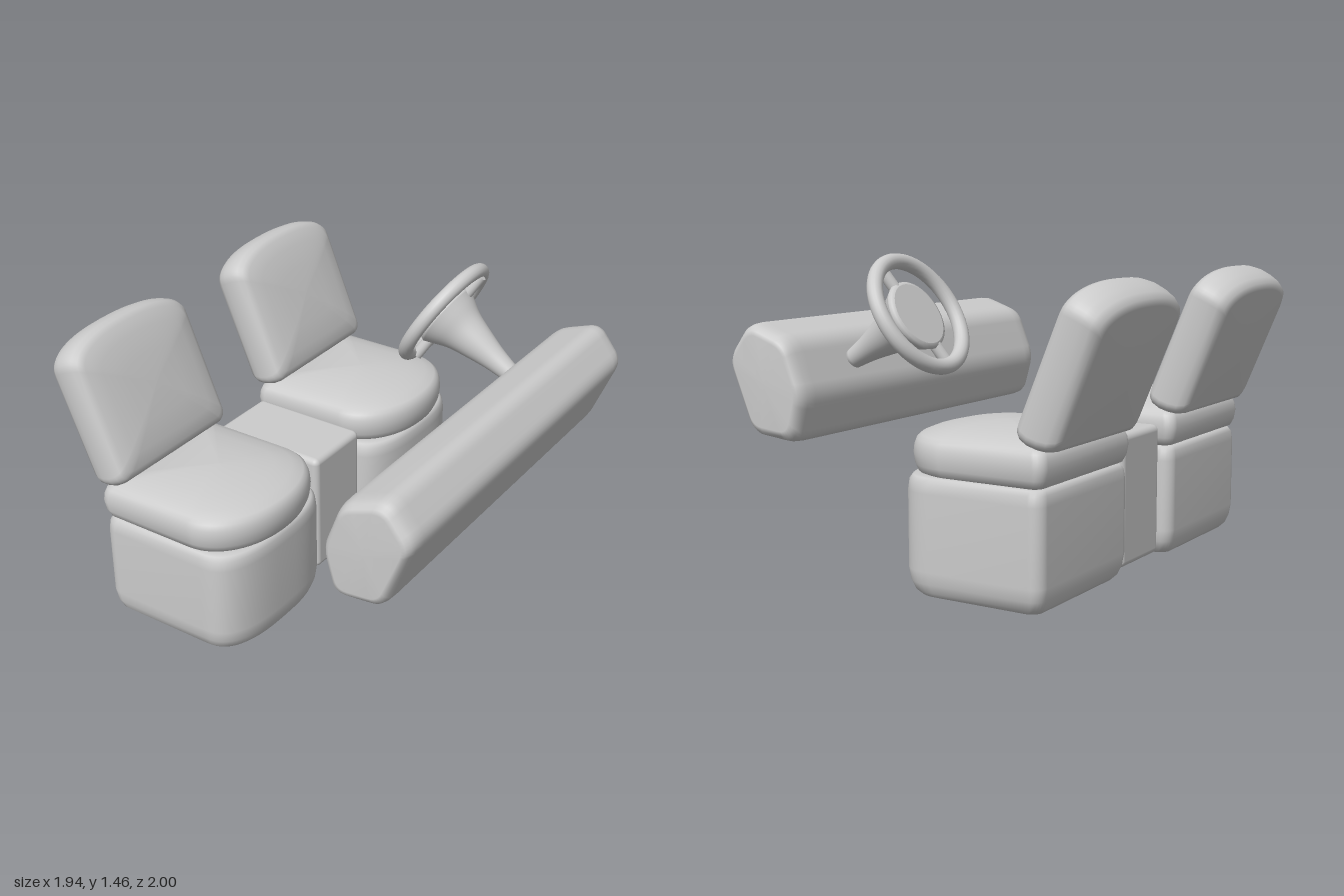
import * as THREE from 'three';
import { RoundedBoxGeometry } from 'three/addons/geometries/RoundedBoxGeometry.js';

const material = new THREE.MeshStandardMaterial({ color: 0xcccccc });

function part(name, geometry) {
  const mesh = new THREE.Mesh(geometry, material);
  mesh.name = name;
  return mesh;
}

// Stacks scaled copies of a closed outline [x, z]; profile rows are [scale, y]
function loft(outline, profile) {
  const n = outline.length, positions = [], index = [];
  profile.forEach(([s, y], j) => {
    outline.forEach(([x, z], i) => {
      positions.push(x * s, y, z * s);
      if (j === profile.length - 1) return;
      const a = j * n + i, b = j * n + (i + 1) % n;
      index.push(a, a + n, b, b, a + n, b + n);
    });
  });
  const g = new THREE.BufferGeometry();
  g.setAttribute('position', new THREE.Float32BufferAttribute(positions, 3));
  g.setIndex(index);
  g.computeVertexNormals();
  return g;
}

// Plan outline: bowed front of given depth and squareness, rounded back corners
function bowedOutline(halfLength, halfWidth, bow, power, r) {
  const pts = [], e = 2 / power, start = halfLength - bow;
  for (let i = 0; i <= 32; i++) {
    const t = -Math.PI / 2 + Math.PI * i / 32, s = Math.sin(t);
    pts.push([start + bow * Math.max(0, Math.cos(t)) ** e, halfWidth * Math.sign(s) * Math.abs(s) ** e]);
  }
  for (const side of [1, -1]) {
    for (let i = 0; i <= 6; i++) {
      const t = (side > 0 ? Math.PI / 2 : Math.PI) + Math.PI / 2 * i / 6;
      pts.push([-halfLength + r + r * Math.cos(t), side * (halfWidth - r) + r * Math.sin(t)]);
    }
  }
  return pts;
}

// Polygon with each corner replaced by a small curve
function roundedPolygon(corners, r) {
  const v = corners.map(c => new THREE.Vector2(...c)), n = v.length, pts = [];
  v.forEach((p, i) => {
    const toward = q => p.clone().add(q.clone().sub(p).setLength(r));
    const curve = new THREE.QuadraticBezierCurve(toward(v[(i + n - 1) % n]), p, toward(v[(i + 1) % n]));
    curve.getPoints(6).forEach(q => pts.push([q.x, q.y]));
  });
  return pts;
}

function createSeat(name, z) {
  const seat = new THREE.Group();
  seat.name = name;

  const base = part('seatBase', loft(bowedOutline(0.38, 0.388, 0.2, 2.7, 0.06), [
    [0, 0], [0.8, 0.003], [0.88, 0.012], [0.94, 0.035], [0.98, 0.075], [1, 0.13],
    [1, 0.47], [0.985, 0.515], [0.95, 0.535], [0.88, 0.54], [0, 0.54]]));
  base.position.x = -0.3;

  const cushion = part('seatCushion', loft(bowedOutline(0.395, 0.39, 0.28, 2.1, 0.05), [
    [0, 0.535], [0.88, 0.536], [0.95, 0.548], [0.985, 0.58], [1, 0.625], [0.99, 0.66],
    [0.965, 0.687], [0.92, 0.703], [0.8, 0.722], [0.6, 0.741], [0.3, 0.755], [0, 0.758]]));
  cushion.position.x = -0.295;

  // Backrest is lofted lying down, then stood up and leaned back
  const back = part('backrest', loft(bowedOutline(0.355, 0.39, 0.14, 2.3, 0.05), [
    [0, 0], [0.84, 0.002], [0.92, 0.015], [0.965, 0.045], [0.99, 0.085], [1, 0.13],
    [0.985, 0.17], [0.95, 0.193], [0.88, 0.208], [0.7, 0.223], [0.4, 0.233], [0, 0.235]]).rotateY(Math.PI));
  back.rotation.z = THREE.MathUtils.degToRad(22.6 - 90);
  back.position.set(-0.855, 0.993, 0);

  seat.add(base, cushion, back);
  seat.position.z = z;
  return seat;
}

function createSteering() {
  const steering = new THREE.Group();
  steering.name = 'steeringWheel';
  steering.add(part('wheelRim', new THREE.TorusGeometry(0.268, 0.036, 16, 64).rotateX(Math.PI / 2)));

  // Flared column with a flat hub face
  const flare = new THREE.SplineCurve([[0.17, 0.02], [0.145, 0.07], [0.112, 0.14], [0.085, 0.24], [0.062, 0.34], [0.047, 0.44]]
    .map(p => new THREE.Vector2(...p))).getPoints(24);
  const hub = [[0, 0], [0.15, 0], [0.15, 0], [0.165, 0.006]].map(p => new THREE.Vector2(...p));
  const end = [[0.035, 0.45], [0, 0.45]].map(p => new THREE.Vector2(...p));
  const column = part('steeringColumn', new THREE.LatheGeometry([...hub, ...flare, ...end], 40));

  // Two opposite spokes
  const spokes = part('spokes', new THREE.CylinderGeometry(0.028, 0.028, 0.52, 16).rotateZ(Math.PI / 2));
  spokes.rotation.y = -0.3;
  spokes.position.y = 0.03;

  steering.add(column, spokes);
  steering.rotation.z = -2.11;
  steering.position.set(0.19, 1.19, -0.585);
  return steering;
}

export function createModel() {
  const model = new THREE.Group();
  model.name = 'cabInterior';
  model.add(createSeat('leftSeat', 0.6), createSeat('rightSeat', -0.59), createSteering());

  // Box between the seats
  const console = part('centreConsole', new RoundedBoxGeometry(0.6, 0.62, 0.37, 4, 0.03));
  console.position.set(-0.33, 0.34, 0.012);

  // Long six-sided dashboard
  const section = [[0.985, 0.99], [0.84, 0.635], [0.595, 0.61], [0.535, 0.83], [0.63, 1.08], [0.855, 1.16]]
    .map(([x, y]) => [x - 0.757, 0.88 - y]);
  const ends = [[0, 1], [0.8, 0.998], [0.88, 0.99], [0.95, 0.97], [0.985, 0.94], [1, 0.89]];
  const profile = [...ends.map(([s, h]) => [s, -h]), ...ends.slice().reverse()];
  const dashboard = part('dashboard', loft(roundedPolygon(section, 0.06), profile).rotateX(Math.PI / 2));
  dashboard.position.set(0.757, 0.88, 0);

  model.add(console, dashboard);
  return model;
}
